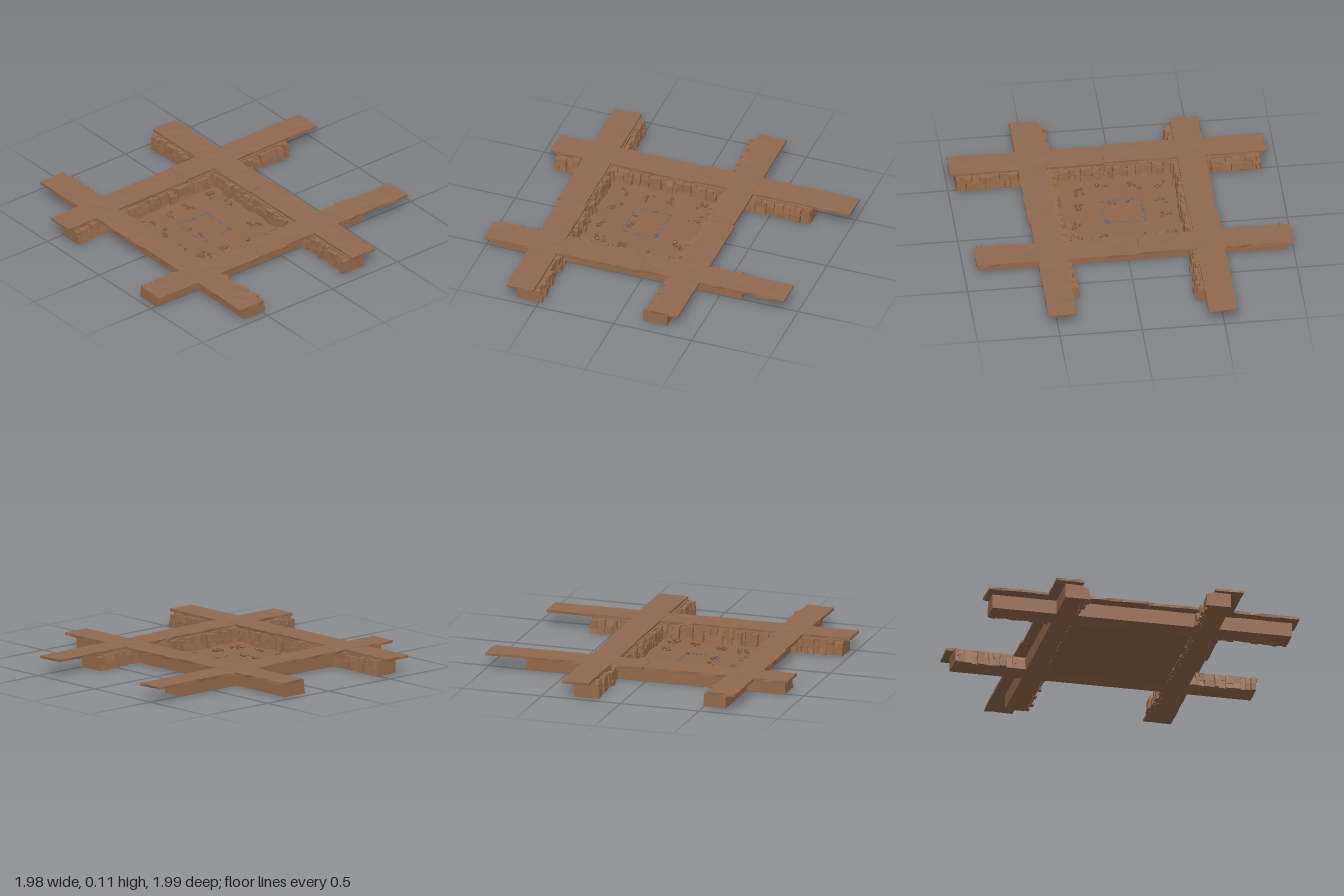
import * as THREE from 'three';
import { mergeGeometries } from 'three/addons/utils/BufferGeometryUtils.js';

// Small seeded random source
let seed = 7;
const rnd = () => {
  seed = (seed * 16807) % 2147483647;
  return seed / 2147483647;
};
const range = (a, b) => a + (b - a) * rnd();

// Repeatable noise in -1..1 from a position, so shared corners move together
const noise = (x, y, z) => {
  const s = Math.sin(x * 127.1 + y * 311.7 + z * 74.7) * 43758.5453;
  return (s - Math.floor(s)) * 2 - 1;
};

// Faceted geometry
function facet(geo) {
  const g = geo.index ? geo.toNonIndexed() : geo;
  g.computeVertexNormals();
  return g;
}

// Box between two corners
function block(x0, x1, y0, y1, z0, z1, sx = 1, sz = 1) {
  return new THREE.BoxGeometry(x1 - x0, y1 - y0, z1 - z0, sx, 1, sz)
    .translate((x0 + x1) / 2, (y0 + y1) / 2, (z0 + z1) / 2);
}

function jitter(geo, ax, ay, az) {
  const p = geo.attributes.position;
  for (let i = 0; i < p.count; i++) {
    const x = p.getX(i), y = p.getY(i), z = p.getZ(i);
    p.setXYZ(i, x + ax * noise(x, y, z), y + ay * noise(z, x, y), z + az * noise(y, z, x));
  }
  return geo;
}

// Uneven stone slab
function slab(x0, x1, z0, z1) {
  const sx = Math.max(3, Math.round((x1 - x0) / 0.06));
  const sz = Math.max(3, Math.round((z1 - z0) / 0.06));
  return facet(jitter(block(x0, x1, 0.088, 0.104, z0, z1, sx, sz), 0.002, 0.0018, 0.002));
}

// Cliff built along x from a to b: smooth back at z = 0, broken rock face towards +z
function cliff(a, b, depth) {
  const parts = [facet(block(a, b, 0, 0.09, 0, depth - 0.035))];
  let x = a;
  while (x < b - 0.005) {
    const w = Math.min(range(0.02, 0.05), b - x);
    const nearEnd = Math.min(x - a, b - x) < 0.06;
    const out = depth + range(-0.018, 0.008) + (nearEnd ? 0.012 : 0);
    const split = range(0.03, 0.06);
    // lower and upper rock of each column
    [[0, split, out + range(-0.004, 0.008)], [split, range(0.078, 0.091), out - range(0, 0.012)]]
      .forEach(([y0, y1, d]) => {
        const g = block(x + 0.001, x + w - 0.001, y0, y1, depth - 0.07, d);
        const p = g.attributes.position;
        const lean = range(-0.006, 0.006), cut = range(0, 0.009);
        for (let i = 0; i < p.count; i++) {
          if (p.getZ(i) < depth - 0.05) continue;
          const top = p.getY(i) > (y0 + y1) / 2;
          if (top) p.setZ(i, p.getZ(i) - cut);
          if (top && x > a && x + w < b) p.setX(i, p.getX(i) + lean);
        }
        parts.push(facet(g));
      });
    x += w;
  }
  return mergeGeometries(parts);
}

// Faceted stone resting on the floor
function stone(x, z, r, flat = 0.8) {
  const g = new THREE.DodecahedronGeometry(r, 0);
  g.rotateY(range(0, 6)).rotateX(range(0, 3)).scale(1, flat, 1);
  return facet(g.translate(x, 0.008 + r * 0.5, z));
}

export function createModel() {
  seed = 7;
  const model = new THREE.Group();
  const mat = (name, color) => {
    const m = new THREE.MeshStandardMaterial({ color });
    m.name = name;
    return m;
  };
  const slabMat = mat('path brown', 0x916a50);
  const rockMat = mat('rock brown', 0x966b4c);
  const floorMat = mat('floor brown', 0x8f684d);
  const pebbleMat = mat('pebble brown', 0x7d583e);
  const blueMat = mat('blue grey stone', 0x5f6b82);
  const add = (name, geo, material) => {
    const mesh = new THREE.Mesh(geo, material);
    mesh.name = name;
    model.add(mesh);
    return mesh;
  };

  // Four crossing paths, each of two slightly offset slabs
  const paths = {
    backPath: [[-0.99, -0.06, -0.377, -0.205], [-0.06, 0.93, -0.387, -0.212]],
    frontPath: [[-0.935, 0.05, 0.535, 0.707], [0.05, 0.985, 0.523, 0.696]],
    leftHandPath: [[0.388, 0.56, -0.93, 0], [0.4, 0.572, 0, 0.99]],
    rightHandPath: [[-0.577, -0.405, -0.998, 0], [-0.567, -0.395, 0, 0.92]],
  };
  for (const [name, slabs] of Object.entries(paths)) {
    add(name, mergeGeometries(slabs.map((s) => slab(...s))), slabMat);
  }

  // Rock walls under the paths, broken faces turned to the pit
  add('backCliff', cliff(-0.95, 0.91, 0.145).translate(0, 0, -0.31), rockMat);
  add('frontCliff', cliff(-0.95, 0.9, 0.145).rotateY(Math.PI).translate(0, 0, 0.635), rockMat);
  add('leftHandCliff', cliff(-0.64, 0.96, 0.15).rotateY(-Math.PI / 2).translate(0.5, 0, 0), rockMat);
  add('rightHandCliff', cliff(-0.88, 0.76, 0.145).rotateY(Math.PI / 2).translate(-0.505, 0, 0), rockMat);

  // Pit floor
  add('pitFloor', facet(block(-0.38, 0.354, 0, 0.008, -0.2, 0.52)), floorMat);

  // Pebble clusters around the floor
  const clusters = [
    [-0.29, -0.08], [-0.16, -0.1], [0.14, -0.09], [0.28, -0.09], [0.27, 0.05], [-0.27, 0.1],
    [-0.26, 0.25], [0.25, 0.24], [-0.28, 0.4], [-0.12, 0.4], [0.08, 0.41], [0.21, 0.38],
  ];
  const pebbles = [];
  for (const [cx, cz] of clusters) {
    for (let i = 0; i < 7; i++) {
      pebbles.push(stone(cx + range(-0.036, 0.036), cz + range(-0.036, 0.036), range(0.006, 0.014)));
    }
  }
  // A few stones inside the ring
  [[0.02, 0.24], [0.05, 0.25], [0.08, 0.07], [-0.06, 0.25]].forEach(([x, z]) => pebbles.push(stone(x, z, 0.012)));
  add('pebbles', mergeGeometries(pebbles), pebbleMat);

  // Broken square ring of blue stones
  const ring = [];
  const [x0, x1, z0, z1] = [-0.145, 0.1, 0.055, 0.275];
  for (let i = 0; i < 18; i++) {
    const t = i / 18;
    const x = x0 + (x1 - x0) * t, z = z0 + (z1 - z0) * t;
    [[x, z0], [x, z1], [x0, z], [x1, z]].forEach(([px, pz]) => {
      if (rnd() < 0.25) return;
      ring.push(stone(px + range(-0.006, 0.006), pz + range(-0.006, 0.006), range(0.004, 0.008), 0.7));
    });
  }
  add('stoneRing', mergeGeometries(ring), blueMat);

  return model;
}
